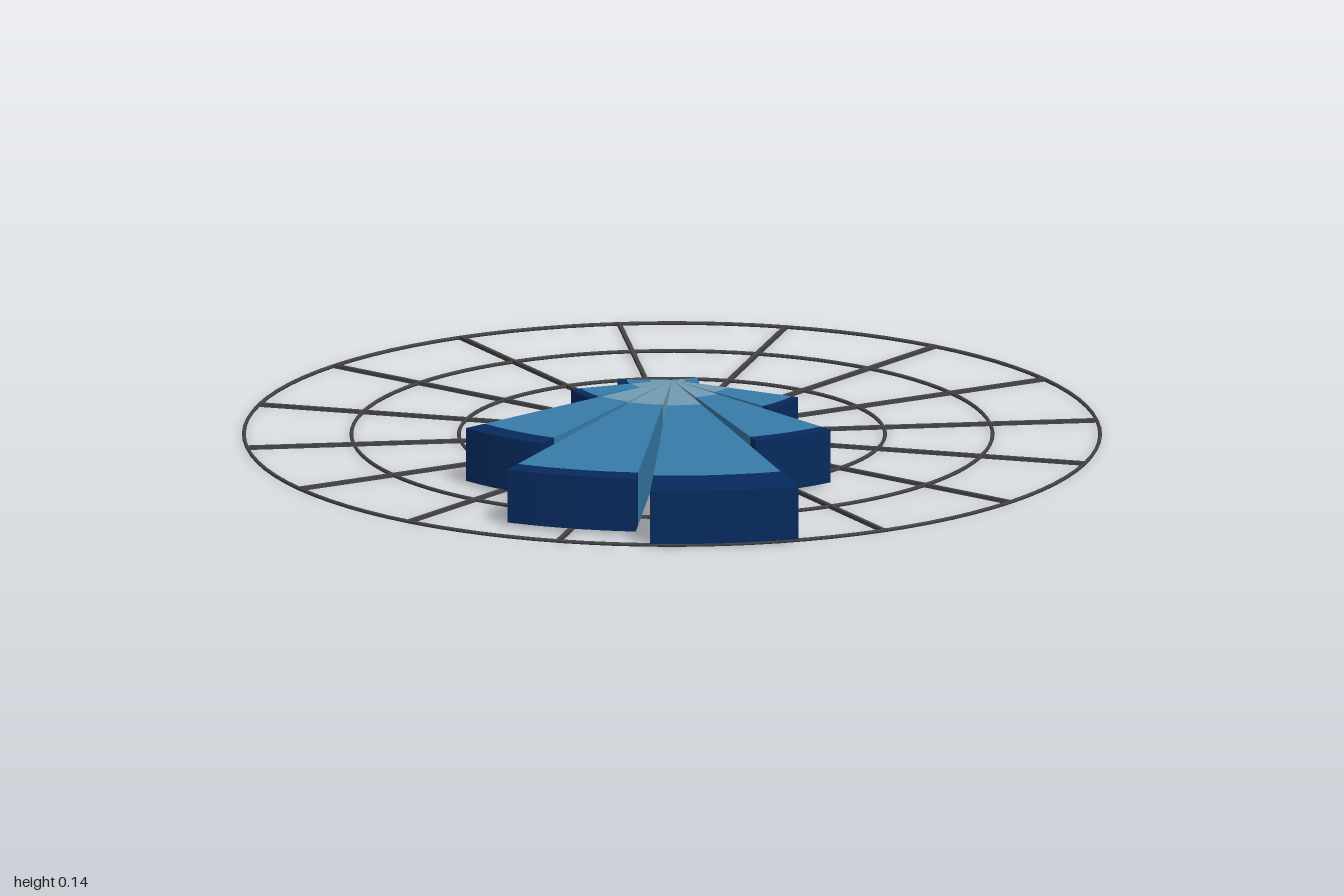
import * as THREE from 'three';

const BOTTOM = 0.008, TOP = 0.135, HALF = THREE.MathUtils.degToRad(10);
const LINE = 0.0045;

function material(name, color) {
  const m = new THREE.MeshStandardMaterial({ color });
  m.name = name;
  return m;
}

// Ring sector, centred on +x, standing between BOTTOM and TOP
function sector(inner, outer) {
  const shape = new THREE.Shape();
  shape.absarc(0, 0, outer, -HALF, HALF, false);
  if (inner > 0) shape.absarc(0, 0, inner, HALF, -HALF, true);
  else shape.lineTo(0, 0);
  shape.closePath();
  const geo = new THREE.ExtrudeGeometry(shape, { depth: TOP - BOTTOM, bevelEnabled: false, curveSegments: 10 });
  return geo.rotateX(Math.PI / 2).translate(0, TOP, 0);
}

export function createModel() {
  const model = new THREE.Group();
  model.name = 'windRose';
  const charcoal = material('charcoal', 0x444444);
  const bands = [
    ['innerBand', material('paleBlue', 0x719bb3)],
    ['middleBand', material('midBlue', 0x377ba8)],
    ['outerBand', material('navy', 0x062a5e)],
  ];

  // Polar grid: four rings and eight full diameters
  const grid = new THREE.Group();
  grid.name = 'polarGrid';
  for (const r of [0.25, 0.5, 0.75, 1]) {
    const ring = new THREE.Mesh(new THREE.TorusGeometry(r - LINE, LINE, 6, 96), charcoal);
    ring.name = 'gridRing';
    ring.rotation.x = Math.PI / 2;
    ring.position.y = LINE;
    grid.add(ring);
  }
  for (let i = 0; i < 8; i++) {
    const spoke = new THREE.Mesh(new THREE.BoxGeometry(2 - 2 * LINE, 2 * LINE, 2 * LINE), charcoal);
    spoke.name = 'gridSpoke';
    spoke.rotation.y = (i * Math.PI) / 8;
    spoke.position.y = LINE;
    grid.add(spoke);
  }
  model.add(grid);

  // Petals: angle in degrees from +x towards +z, then the end radius of each band
  const petals = [
    [45, 0.03, 0.06],
    [67.5, 0.03, 0.063],
    [90, 0.147, 0.315, 0.332],
    [112.5, 0.165, 0.543, 0.579],
    [135, 0.229, 0.86, 1],
    [157.5, 0.225, 0.835, 0.892],
    [180, 0.22, 0.587, 0.645],
    [202.5, 0.1, 0.225, 0.249],
    [225, 0.05, 0.105, 0.127],
  ];
  for (const [degrees, ...radii] of petals) {
    const petal = new THREE.Group();
    petal.name = 'petal';
    petal.rotation.y = -THREE.MathUtils.degToRad(degrees);
    radii.forEach((outer, i) => {
      const [name, mat] = bands[i];
      const mesh = new THREE.Mesh(sector(i ? radii[i - 1] : 0, outer), mat);
      mesh.name = name;
      petal.add(mesh);
    });
    model.add(petal);
  }
  return model;
}
